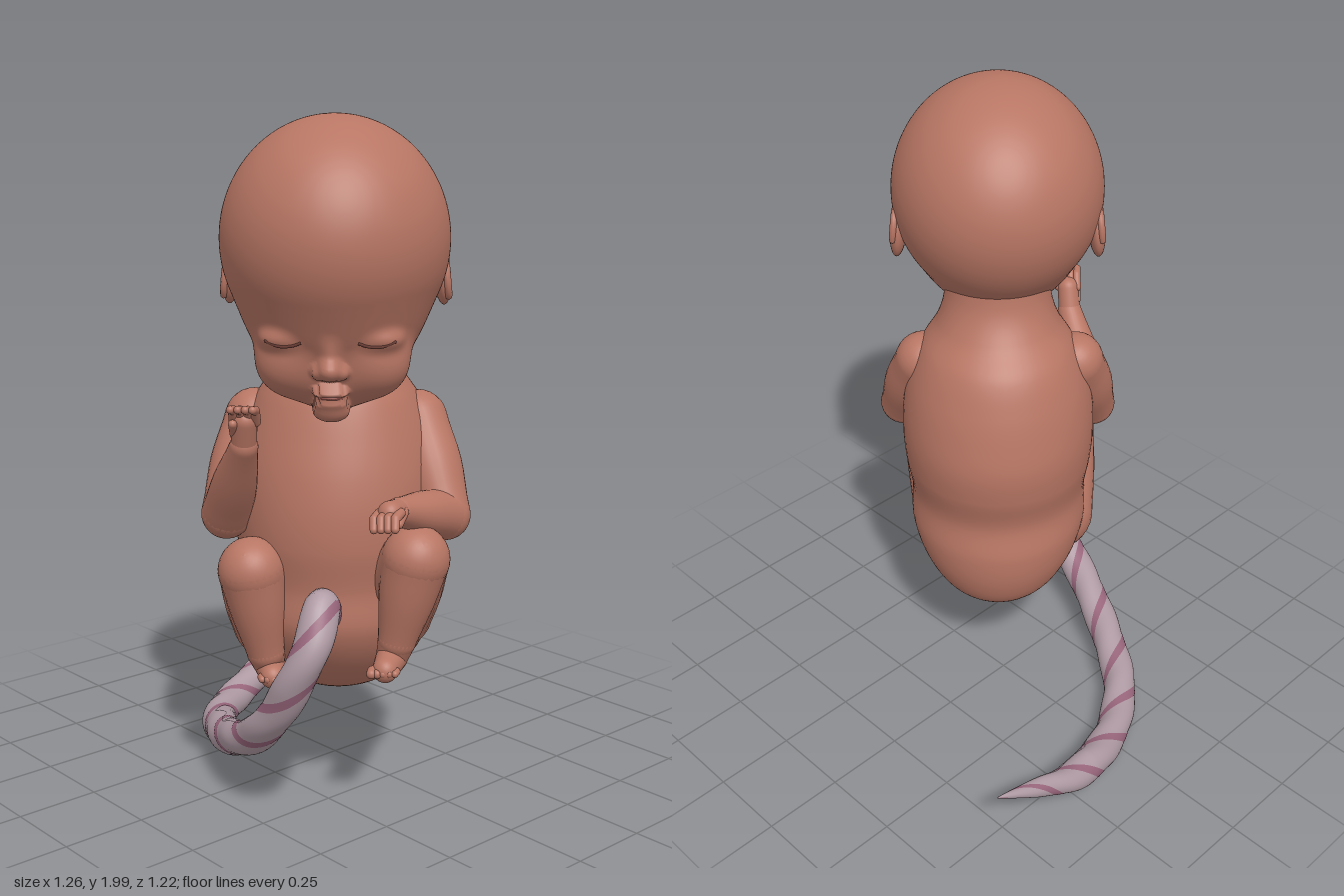
import * as THREE from 'three';
import { ParametricGeometry } from 'three/addons/geometries/ParametricGeometry.js';

const V = (x, y, z) => new THREE.Vector3(x, y, z);
const mat = (color) => new THREE.MeshStandardMaterial({ color, roughness: 0.8 });
const skin = mat(0xb87664), crease = mat(0x6b3d35), lip = mat(0xa05a52);
const cordSkin = mat(0xb09ba4), cordVein = mat(0x99667c);

function add(parent, name, geometry, material = skin) {
  const m = new THREE.Mesh(geometry, material);
  m.name = name;
  parent.add(m);
  return m;
}

// Tapered round-ended segment from a to b
function segment(parent, name, a, b, ra, rb, bulge = 0, flat = 1) {
  const len = a.distanceTo(b), pts = [];
  for (let i = 0; i <= 8; i++) {
    const t = (i / 8) * Math.PI / 2;
    pts.push(new THREE.Vector2(ra * Math.sin(t), -ra * Math.cos(t)));
  }
  for (let i = 1; i < 8; i++) {
    const t = i / 8;
    pts.push(new THREE.Vector2(ra + (rb - ra) * t + bulge * Math.sin(Math.PI * t) ** 2, len * t));
  }
  for (let i = 0; i <= 8; i++) {
    const t = (i / 8) * Math.PI / 2;
    pts.push(new THREE.Vector2(rb * Math.cos(t), len + rb * Math.sin(t)));
  }
  const m = add(parent, name, new THREE.LatheGeometry(pts, 28));
  m.position.copy(a);
  m.quaternion.setFromUnitVectors(V(0, 1, 0), b.clone().sub(a).normalize());
  m.scale.z = flat;
  return m;
}

// Smoothly blended ellipsoids: [x, y, z, rx, ry, rz, blend]
const headForms = [
  [0, 1.66, 0.325, 0.321, 0.34, 0.363, 0],
  [0, 1.44, 0.37, 0.225, 0.19, 0.205, 0.08],
  [0, 1.31, 0.42, 0.14, 0.115, 0.12, 0.06],
  [0.115, 1.335, 0.455, 0.095, 0.095, 0.095, 0.05],
  [-0.115, 1.335, 0.455, 0.095, 0.095, 0.095, 0.05],
  [0.125, 1.405, 0.515, 0.065, 0.034, 0.058, 0.025],
  [-0.125, 1.405, 0.515, 0.065, 0.034, 0.058, 0.025],
  [0, 1.375, 0.555, 0.02, 0.06, 0.035, 0.03],
  [0, 1.325, 0.572, 0.032, 0.03, 0.04, 0.02],
  [0.03, 1.317, 0.56, 0.02, 0.02, 0.025, 0.012],
  [-0.03, 1.317, 0.56, 0.02, 0.02, 0.025, 0.012],
  [0, 1.26, 0.537, 0.05, 0.015, 0.028, 0.012],
  [0, 1.232, 0.53, 0.042, 0.014, 0.026, 0.012],
  [0, 1.205, 0.505, 0.05, 0.03, 0.035, 0.03],
];
function headDistance(p) {
  let d = 9;
  for (const [x, y, z, rx, ry, rz, k] of headForms) {
    const a = (p.x - x) / rx, b = (p.y - y) / ry, c = (p.z - z) / rz;
    const k0 = Math.hypot(a, b, c), k1 = Math.hypot(a / rx, b / ry, c / rz) + 1e-9;
    const e = k0 * (k0 - 1) / k1, h = k ? Math.max(k - Math.abs(d - e), 0) / k : 0;
    d = Math.min(d, e) - h * h * k / 4;
  }
  return d;
}
// Walk from a start point along a direction until the head surface is met
function meetHead(p, dir) {
  for (let i = 0; i < 70; i++) {
    const d = headDistance(p);
    if (Math.abs(d) < 1e-4) break;
    p.addScaledVector(dir, d * 0.75);
  }
  return p;
}

function buildHead(parent) {
  const head = new THREE.Group();
  head.name = 'head';
  parent.add(head);
  const geo = new THREE.SphereGeometry(1, 180, 130), pos = geo.attributes.position;
  const centre = V(0, 1.45, 0.36);
  for (let i = 0; i < pos.count; i++) {
    const dir = V().fromBufferAttribute(pos, i).normalize();
    const p = meetHead(centre.clone().add(dir), dir.clone().negate());
    pos.setXYZ(i, p.x, p.y, p.z);
  }
  geo.computeVertexNormals();
  add(head, 'skullAndFace', geo);

  // Thin lines lying on the face: closed eyes and mouth
  const line = (name, pts, r, m) => add(head, name, new THREE.TubeGeometry(
    new THREE.CatmullRomCurve3(pts.map(([x, y]) => meetHead(V(x, y, 0.9), V(0, 0, -1)))), 24, r, 6), m);
  for (const s of [1, -1]) {
    line('closedEye', [[0.075, 1.4], [0.1, 1.391], [0.135, 1.389], [0.175, 1.402]].map(([x, y]) => [s * x, y]), 0.0045, crease);
    // Ear: flat shell with a raised rim
    const ear = new THREE.Group();
    ear.name = 'ear';
    ear.position.set(s * 0.298, 1.555, 0.25);
    ear.rotation.z = s * 0.1;
    head.add(ear);
    add(ear, 'earShell', new THREE.SphereGeometry(1, 24, 18)).scale.set(0.026, 0.085, 0.06);
    const rim = add(ear, 'earRim', new THREE.TorusGeometry(0.05, 0.011, 8, 32, Math.PI * 1.4));
    rim.rotation.set(-0.3, Math.PI / 2, 0);
    rim.position.x = s * 0.014;
    rim.scale.y = 1.35;
  }
  line('mouth', [[-0.042, 1.243], [-0.015, 1.248], [0.015, 1.248], [0.042, 1.243]], 0.005, lip);
}

// Torso cross-sections: [height, centre z, half width, half depth]
const sections = [
  [0.288, 0.1, 0.002, 0.002], [0.305, 0.108, 0.09, 0.1], [0.36, 0.13, 0.185, 0.2],
  [0.45, 0.16, 0.25, 0.27], [0.56, 0.185, 0.285, 0.305], [0.68, 0.195, 0.283, 0.297],
  [0.8, 0.19, 0.3, 0.32], [0.9, 0.185, 0.305, 0.325], [1.0, 0.185, 0.3, 0.31],
  [1.1, 0.185, 0.28, 0.283], [1.2, 0.19, 0.24, 0.245], [1.28, 0.205, 0.19, 0.19],
  [1.36, 0.215, 0.165, 0.155], [1.5, 0.24, 0.16, 0.16],
];
function buildTorso(parent) {
  const spine = new THREE.CatmullRomCurve3(sections.map(([y, z, rx]) => V(rx, y, z)));
  const depth = new THREE.CatmullRomCurve3(sections.map(([y, , , rz]) => V(rz, y, 0)));
  add(parent, 'torso', new ParametricGeometry((u, v, out) => {
    const a = u * Math.PI * 2, s = spine.getPoint(v), d = depth.getPoint(v).x;
    out.set(s.x * Math.sin(a), s.y, s.z + d * Math.cos(a));
  }, 64, 80));
}

function buildArm(parent, name, shoulder, elbow, wrist, knuckles, curl, across) {
  const arm = new THREE.Group();
  arm.name = name;
  parent.add(arm);
  segment(arm, 'upperArm', shoulder, elbow, 0.088, 0.074, 0.01);
  segment(arm, 'forearm', elbow, wrist, 0.074, 0.04, 0.006);
  segment(arm, 'palm', wrist, knuckles, 0.036, 0.034);
  // Four curled fingers and a thumb
  const reach = knuckles.clone().sub(wrist).normalize();
  for (let i = 0; i < 4; i++) {
    const base = knuckles.clone().addScaledVector(across, (i - 1.5) * 0.02);
    const joint = base.clone().addScaledVector(reach, 0.034).addScaledVector(curl, 0.015);
    segment(arm, 'finger', base, joint, 0.014, 0.013);
    segment(arm, 'fingertip', joint, joint.clone().addScaledVector(curl, 0.032), 0.013, 0.011);
  }
  const root = wrist.clone().lerp(knuckles, 0.5).addScaledVector(across, -0.025);
  segment(arm, 'thumb', root, root.clone().addScaledVector(reach, 0.03).addScaledVector(curl, 0.035), 0.015, 0.012);
}

function buildLeg(parent, name, hip, knee, ankle, heel, toe) {
  const leg = new THREE.Group();
  leg.name = name;
  parent.add(leg);
  segment(leg, 'thigh', hip, knee, 0.13, 0.096, 0.005);
  segment(leg, 'shin', knee, ankle, 0.096, 0.055, 0.004);
  segment(leg, 'heel', ankle, heel, 0.055, 0.046);
  segment(leg, 'foot', heel, toe, 0.046, 0.036);
  // Row of toes, largest one on the inner side
  const ahead = toe.clone().sub(heel).normalize();
  const across = V(0, 1, 0).cross(ahead).normalize().multiplyScalar(name === 'leftLeg' ? 1 : -1);
  for (let i = 0; i < 5; i++) {
    const a = toe.clone().addScaledVector(across, (i - 2) * 0.016).addScaledVector(ahead, 0.016 - i * 0.003);
    segment(leg, 'toe', a, a.clone().addScaledVector(ahead, 0.016), 0.016 - i * 0.001, 0.014 - i * 0.001);
  }
}

// Twisted cord that tapers to a point, with two winding veins
function buildCord(parent) {
  const cord = new THREE.Group();
  cord.name = 'cord';
  parent.add(cord);
  const path = new THREE.CatmullRomCurve3([
    [0.32, 0.6, 0.33], [0.37, 0.652, 0.38], [0.4, 0.57, 0.44], [0.36, 0.45, 0.475], [0.28, 0.34, 0.475],
    [0.18, 0.25, 0.46], [0, 0.163, 0.4], [-0.2, 0.1, 0.3], [-0.38, 0.065, 0.17], [-0.5, 0.062, 0],
    [-0.565, 0.1, -0.17], [-0.59, 0.14, -0.3], [-0.588, 0.2, -0.43], [-0.58, 0.28, -0.598],
  ].map((p) => V(...p)));
  const n = 160, frames = path.computeFrenetFrames(n);
  const strip = (name, from, span, swell, slices, m) => add(cord, name, new ParametricGeometry((u, v, out) => {
    const i = Math.round(v * n), turn = (from + u * span) * Math.PI * 2, a = turn + v * Math.PI * 10;
    const taper = Math.min(1, Math.max(0.01, (1 - v) / 0.2)) ** 0.75;
    const r = 0.053 * taper * (1 + 0.05 * Math.cos(2 * turn)) * swell;
    out.copy(path.getPointAt(v)).addScaledVector(frames.normals[i], r * Math.cos(a))
      .addScaledVector(frames.binormals[i], r * Math.sin(a));
  }, slices, n), m);
  strip('cordBody', 0, 1, 1, 32, cordSkin);
  for (const from of [0.2, 0.7]) strip('cordVein', from, 0.1, 1.02, 6, cordVein);
}

export function createModel() {
  const model = new THREE.Group();
  model.name = 'curledBaby';

  // Head and torso face diagonally between +x and +z
  const body = new THREE.Group();
  body.name = 'body';
  body.rotation.y = Math.PI / 4;
  body.position.set(0.012, 0, -0.012);
  model.add(body);
  buildHead(body);
  buildTorso(body);

  buildArm(model, 'rightArm', V(-0.02, 1.13, 0.3), V(0.035, 0.875, 0.45), V(0.225, 1.11, 0.535),
    V(0.25, 1.185, 0.55), V(0.6, 0.2, 0.75).normalize(), V(0.75, 0, -0.65).normalize());
  buildArm(model, 'leftArm', V(0.32, 1.13, -0.035), V(0.475, 0.88, 0.005), V(0.525, 0.935, 0.235),
    V(0.55, 0.945, 0.295), V(0.45, -0.75, 0.45).normalize(), V(-0.85, -0.1, 0.45).normalize());
  buildLeg(model, 'rightLeg', V(0.03, 0.52, 0.27), V(0.165, 0.735, 0.465), V(0.175, 0.49, 0.425),
    V(0.15, 0.435, 0.39), V(0.225, 0.43, 0.44));
  buildLeg(model, 'leftLeg', V(0.28, 0.56, 0.03), V(0.525, 0.79, 0.17), V(0.48, 0.55, 0.195),
    V(0.46, 0.495, 0.195), V(0.51, 0.485, 0.27));
  buildCord(model);
  return model;
}
